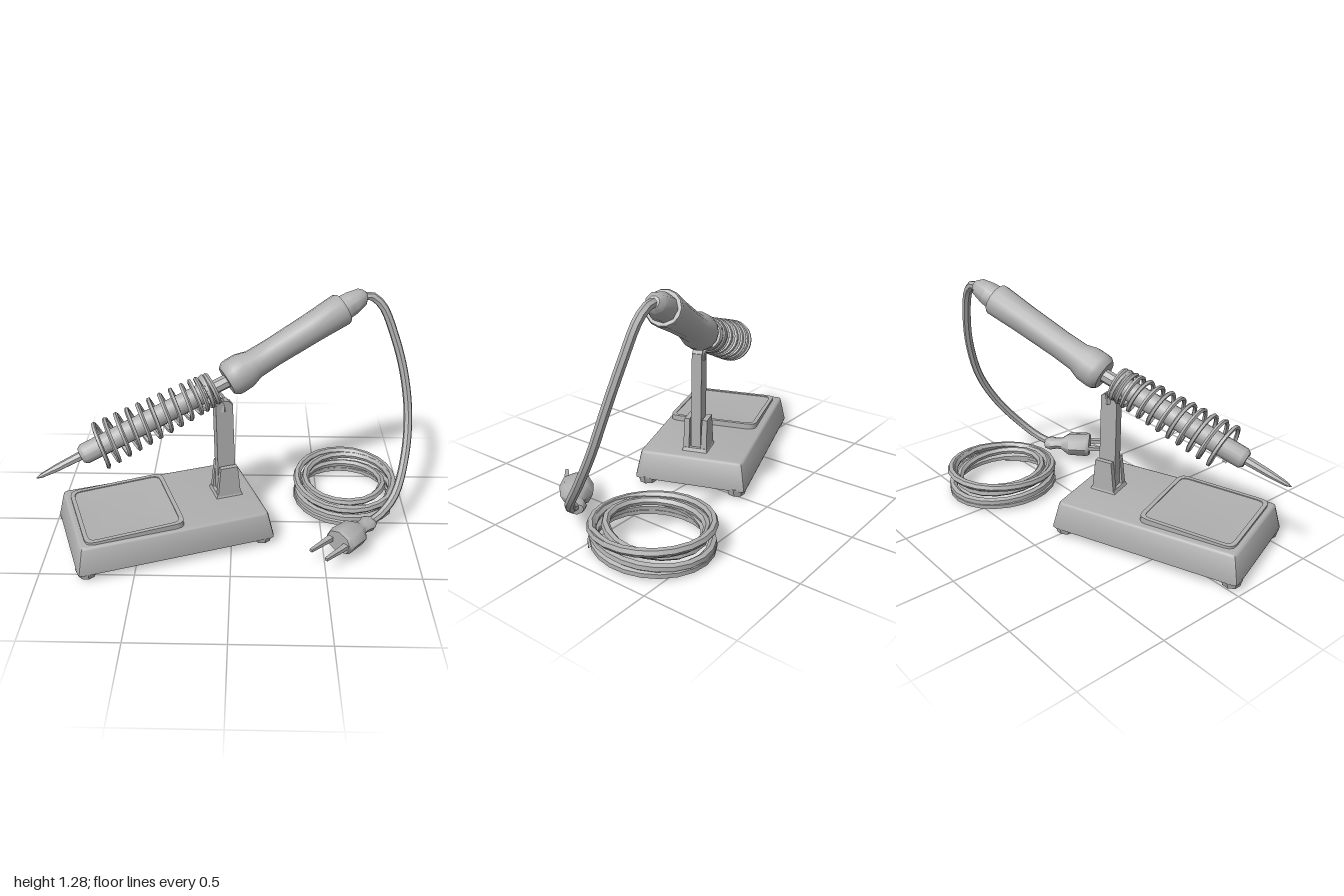
import * as THREE from 'three';
import { toCreasedNormals } from 'three/addons/utils/BufferGeometryUtils.js';

const grey = new THREE.MeshStandardMaterial({ color: 0xb0b0b0 });
grey.name = 'plain grey';

const V = (x, y, z) => new THREE.Vector3(x, y, z);

function add(parent, name, geometry, x = 0, y = 0, z = 0, crease = 0.7) {
  const mesh = new THREE.Mesh(toCreasedNormals(geometry, crease), grey);
  mesh.name = name;
  mesh.position.set(x, y, z);
  parent.add(mesh);
  return mesh;
}

function tube(points, radius, steps, sides = 6) {
  return new THREE.TubeGeometry(new THREE.CatmullRomCurve3(points), steps, radius, sides);
}

function lathe(profile, sides) {
  return new THREE.LatheGeometry(profile.map(([r, h]) => new THREE.Vector2(r, h)), sides);
}

// Group whose local +y runs from one point towards another
function axisGroup(name, from, to) {
  const group = new THREE.Group();
  group.name = name;
  group.position.copy(from);
  group.quaternion.setFromUnitVectors(V(0, 1, 0), to.clone().sub(from).normalize());
  return group;
}

// Rounded rectangle centred on the origin
function roundedRect(w, d, r, Type = THREE.Shape) {
  const s = new Type(), a = w / 2, b = d / 2;
  s.moveTo(-a + r, -b);
  s.lineTo(a - r, -b).quadraticCurveTo(a, -b, a, -b + r);
  s.lineTo(a, b - r).quadraticCurveTo(a, b, a - r, b);
  s.lineTo(-a + r, b).quadraticCurveTo(-a, b, -a, b - r);
  s.lineTo(-a, -b + r).quadraticCurveTo(-a, -b, -a + r, -b);
  return s;
}

// Box whose top is scaled and shifted along x
function taperedBox(w, h, d, topW, topD, shift = 0) {
  const g = new THREE.BoxGeometry(w, h, d).translate(0, h / 2, 0), p = g.attributes.position;
  for (let i = 0; i < p.count; i++) {
    if (p.getY(i) > h / 2) p.setXYZ(i, p.getX(i) * topW + shift, h, p.getZ(i) * topD);
  }
  return g;
}

function buildStand() {
  const stand = new THREE.Group();
  stand.name = 'stand';
  stand.position.set(-0.375, 0, 0.11);
  stand.rotation.y = THREE.MathUtils.degToRad(20);

  // Base block, narrowing towards the top
  const body = new THREE.ExtrudeGeometry(roundedRect(1.06, 0.61, 0.02), {
    depth: 0.13, bevelEnabled: true, bevelThickness: 0.013, bevelSize: 0.013, bevelSegments: 2, curveSegments: 2,
  }).rotateX(-Math.PI / 2).translate(0, 0.063, 0);
  const p = body.attributes.position;
  for (let i = 0; i < p.count; i++) {
    const t = (p.getY(i) - 0.05) / 0.156;
    p.setX(i, p.getX(i) * (1 - 0.06 * t));
    p.setZ(i, p.getZ(i) * (1 - 0.09 * t));
  }
  add(stand, 'base', body);

  // Feet
  for (const x of [-0.485, 0.485]) for (const z of [-0.255, 0.255]) {
    add(stand, 'foot', new THREE.CylinderGeometry(0.06, 0.047, 0.045, 8), x, 0.042, z);
  }

  // Sponge tray with a raised rim and slightly dished floor
  const tray = new THREE.Group();
  tray.name = 'tray';
  tray.position.set(-0.215, 0.198, 0.012);
  tray.rotation.z = 0.035;
  stand.add(tray);
  const rim = roundedRect(0.53, 0.52, 0.05);
  rim.holes.push(roundedRect(0.485, 0.475, 0.04, THREE.Path));
  add(tray, 'trayRim', new THREE.ExtrudeGeometry(rim, { depth: 0.032, bevelEnabled: false, curveSegments: 3 })
    .rotateX(-Math.PI / 2), 0, -0.002, 0);
  const floor = new THREE.PlaneGeometry(0.49, 0.48, 6, 6).rotateX(-Math.PI / 2);
  const f = floor.attributes.position;
  for (let i = 0; i < f.count; i++) {
    const edge = Math.max(Math.abs(f.getX(i)) / 0.245, Math.abs(f.getZ(i)) / 0.24);
    f.setY(i, 0.017 + 0.008 * edge * edge);
  }
  add(tray, 'trayFloor', floor);

  // Upright held between two bracket plates
  const px = 0.36;
  add(stand, 'upright', taperedBox(0.1, 0.56, 0.055, 0.95, 1, -0.015), px, 0.2, 0);
  for (const side of [-1, 1]) {
    add(stand, 'bracketPlate', taperedBox(0.135, 0.19, 0.035, 0.72, 0.8), px, 0.198, side * 0.05);
  }
  add(stand, 'bracketFoot', taperedBox(0.16, 0.03, 0.15, 0.85, 0.85), px, 0.195, 0);
  const cap = add(stand, 'uprightCap', new THREE.CylinderGeometry(0.047, 0.047, 0.055, 10).rotateX(Math.PI / 2),
    px - 0.015, 0.745, 0);
  cap.scale.y = 0.8;
  return stand;
}

function buildIron() {
  const iron = new THREE.Group();
  iron.name = 'solderingIron';
  const joint = V(-0.04, 0.87, -0.035);

  // Hot end: tip, barrel and neck
  const hot = axisGroup('hotEnd', V(-1, 0.49, 0.34), joint);
  add(hot, 'tip', lathe([[0, 0], [0.012, 0.03], [0.02, 0.12], [0.025, 0.28]], 7));
  add(hot, 'barrel', lathe([[0, 0.255], [0.04, 0.255], [0.055, 0.275], [0.057, 0.6], [0.055, 0.97], [0, 0.97]], 12));
  add(hot, 'neck', new THREE.CylinderGeometry(0.037, 0.037, 0.2, 8), 0, 1.04, 0);

  // Handle, tilted a little more steeply than the hot end
  const grip = axisGroup('grip', joint, V(0.7, 1.252, -0.335));
  add(grip, 'handle', lathe([[0, 0.012], [0.08, 0.012], [0.098, 0.035], [0.101, 0.06], [0.099, 0.12], [0.08, 0.18],
    [0.077, 0.3], [0.082, 0.55], [0.09, 0.735], [0.084, 0.75], [0, 0.75]], 14));
  add(grip, 'cableGuard', lathe([[0.07, 0.74], [0.066, 0.8], [0.05, 0.87], [0.026, 0.895], [0, 0.897]], 9));

  // Wire spring: open turns along the barrel, closing up at the holder end
  const coil = [], open = 9, tight = 3, per = 12;
  for (let i = 0; i <= (open + tight) * per; i++) {
    const turn = i / per, a = turn * Math.PI * 2;
    const h = turn < open ? 0.355 + turn * 0.062 : 0.913 + (turn - open) * 0.035;
    const r = 0.118 - 0.036 * turn / (open + tight);
    coil.push(V(Math.cos(a) * r, h, Math.sin(a) * r));
  }
  add(hot, 'spring', tube(coil, 0.012, 288, 5));
  for (const h of [0.99, 1.02]) {
    add(hot, 'holderRing', new THREE.TorusGeometry(0.077, 0.015, 6, 16).rotateX(Math.PI / 2), 0, h, 0);
  }
  iron.add(hot, grip);
  return iron;
}

function buildPlug() {
  const plug = new THREE.Group();
  plug.name = 'plug';
  plug.position.set(0.74, 0.115, 0.17);
  plug.rotation.y = -Math.PI / 4;
  const body = lathe([[0, -0.05], [0.036, -0.045], [0.052, -0.01], [0.042, 0.03], [0.044, 0.06], [0.085, 0.11],
    [0.09, 0.22], [0.08, 0.24], [0, 0.24]], 8).rotateX(Math.PI / 2).scale(1, 0.8, 1);
  add(plug, 'plugBody', body, 0, 0, 0, 0.9);
  for (const side of [-1, 1]) {
    add(plug, 'prong', taperedBox(0.034, 0.18, 0.026, 0.5, 0.6).rotateX(Math.PI / 2), side * 0.052, 0, 0.22);
  }
  return plug;
}

// Loose loops of spare cable, each row: x and z radius, height, tilt, centre x and z
function buildCoil() {
  const rows = [
    [0.285, 0.31, 0.028, 0.004, 0.66, -0.262],
    [0.275, 0.3, 0.04, 0.012, 0.66, -0.265],
    [0.278, 0.305, 0.09, 0.025, 0.66, -0.262],
    [0.205, 0.235, 0.115, 0.015, 0.67, -0.27],
    [0.285, 0.31, 0.135, -0.016, 0.66, -0.265],
    [0.28, 0.305, 0.137, -0.016, 0.66, -0.265],
  ];
  const points = [], per = 14;
  for (let i = 0; i <= (rows.length - 1) * per; i++) {
    const k = Math.min(Math.floor(i / per), rows.length - 2), t = i / per - k;
    const [rx, rz, y, tilt, cx, cz] = rows[k].map((v, n) => THREE.MathUtils.lerp(v, rows[k + 1][n], t));
    const a = i / per * Math.PI * 2 + 0.6;
    points.push(V(cx + Math.cos(a) * rx, y + tilt * Math.sin(a), cz + Math.sin(a) * rz));
  }
  return tube(points, 0.022, 110, 6);
}

export function createModel() {
  const model = new THREE.Group();
  model.name = 'solderingStation';
  model.add(buildStand(), buildIron(), buildPlug());

  // Wires joining the holder rings to the upright
  for (const dz of [-0.02, 0.02]) {
    add(model, 'holderWire', tube([V(-0.05, 0.72, -0.01 + dz), V(-0.055, 0.77, -0.015 + dz),
      V(-0.085, 0.8, -0.015 + dz * 2)], 0.018, 6));
  }

  // Cable hanging from the handle down to the plug
  add(model, 'hangingCable', tube([V(0.66, 1.235, -0.32), V(0.73, 1.25, -0.335), V(0.8, 1.2, -0.33),
    V(0.88, 1.03, -0.305), V(0.945, 0.82, -0.26), V(0.976, 0.6, -0.19), V(0.96, 0.4, -0.08),
    V(0.9, 0.23, 0.05), V(0.82, 0.15, 0.12), V(0.74, 0.115, 0.17)], 0.024, 32, 7));

  add(model, 'coiledCable', buildCoil());
  return model;
}
